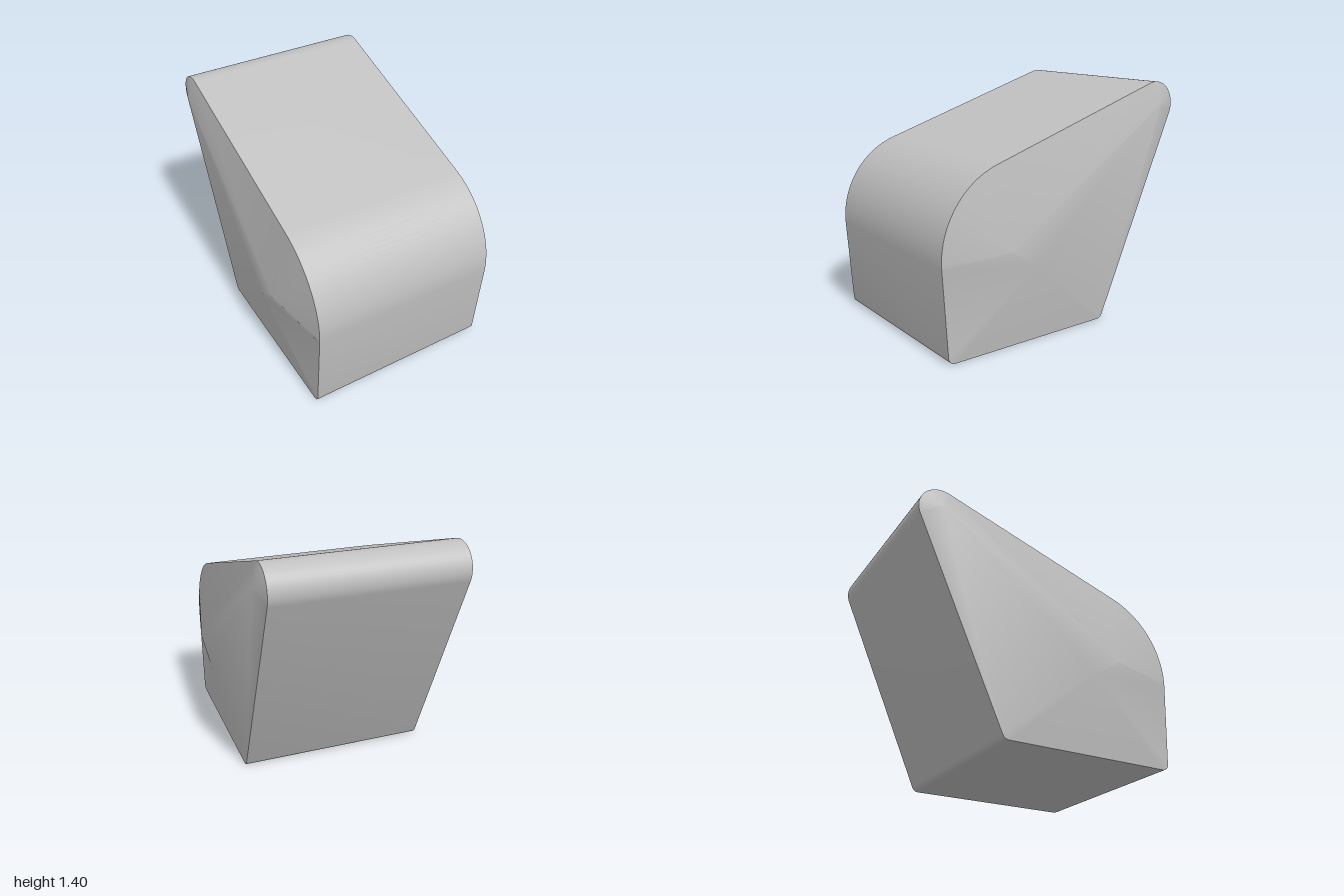
import * as THREE from 'three';
import { toCreasedNormals } from 'three/addons/utils/BufferGeometryUtils.js';

const HALF_WIDTH = 0.56;
const rad = THREE.MathUtils.degToRad;

// Ridge points of the bulging ends: [outward offset, height, depth]
const RIDGE = {
  back: [0.598, 1.27, -0.7],
  middle: [0.626, 0.46, 0.26],
  front: [0.637, 0.57, 0.43],
};

// Rounded corners of the side profile, joined by straight runs
const CORNERS = [
  { z: -0.263, y: 0.04, r: 0.04, from: 203.6, to: 270, steps: 6, ridge: 'middle' },
  { z: 0.754, y: 0.04, r: 0.04, from: 270, to: 356.6, steps: 6, ridge: 'middle' },
  { z: 0.326, y: 0.56, r: 0.5, from: -3.4, to: 72.4, steps: 24, ridge: 'front' },
  { z: -0.686, y: 1.26, r: 0.14, from: 72.4, to: 203.6, steps: 20, ridge: 'back' },
];

function makeProfile() {
  const points = [];
  for (const c of CORNERS) {
    for (let i = 0; i <= c.steps; i++) {
      const a = rad(c.from + ((c.to - c.from) * i) / c.steps);
      points.push({ z: c.z + c.r * Math.cos(a), y: c.y + c.r * Math.sin(a), ridge: c.ridge });
    }
  }
  return points;
}

function makeGeometry(positions) {
  const geometry = new THREE.BufferGeometry();
  geometry.setAttribute('position', new THREE.Float32BufferAttribute(positions, 3));
  return toCreasedNormals(geometry, 0.4);
}

// Wrap-around wall between the two end rims
function wallGeometry(profile) {
  const out = [];
  profile.forEach((p, i) => {
    const q = profile[(i + 1) % profile.length];
    const w = HALF_WIDTH;
    out.push(-w, p.y, p.z, w, p.y, p.z, -w, q.y, q.z);
    out.push(w, p.y, p.z, w, q.y, q.z, -w, q.y, q.z);
  });
  return makeGeometry(out);
}

// Shallow faceted bulge closing one end; side is -1 or +1
function endGeometry(profile, side) {
  const out = [];
  const rim = (p) => [HALF_WIDTH, p.y, p.z];
  const add = (a, b, c) => {
    for (const v of side < 0 ? [a, b, c] : [a, c, b]) out.push(side * v[0], v[1], v[2]);
  };
  profile.forEach((p, i) => {
    const q = profile[(i + 1) % profile.length];
    add(rim(p), rim(q), RIDGE[p.ridge]);
    if (p.ridge !== q.ridge) add(rim(q), RIDGE[q.ridge], RIDGE[p.ridge]);
  });
  add(RIDGE.back, RIDGE.middle, RIDGE.front);
  return makeGeometry(out);
}

export function createModel() {
  const model = new THREE.Group();
  model.name = 'wedgeBlock';
  const grey = new THREE.MeshStandardMaterial({ color: 0xc0c0c0 });
  grey.name = 'light grey';

  const profile = makeProfile();
  const body = new THREE.Group();
  body.name = 'body';
  body.rotation.y = 0.594; // the block stands turned on its base
  const add = (name, geometry) => {
    const mesh = new THREE.Mesh(geometry, grey);
    mesh.name = name;
    body.add(mesh);
  };
  add('wall', wallGeometry(profile));
  add('rightEnd', endGeometry(profile, -1));
  add('leftEnd', endGeometry(profile, 1));

  model.add(body);
  return model;
}
